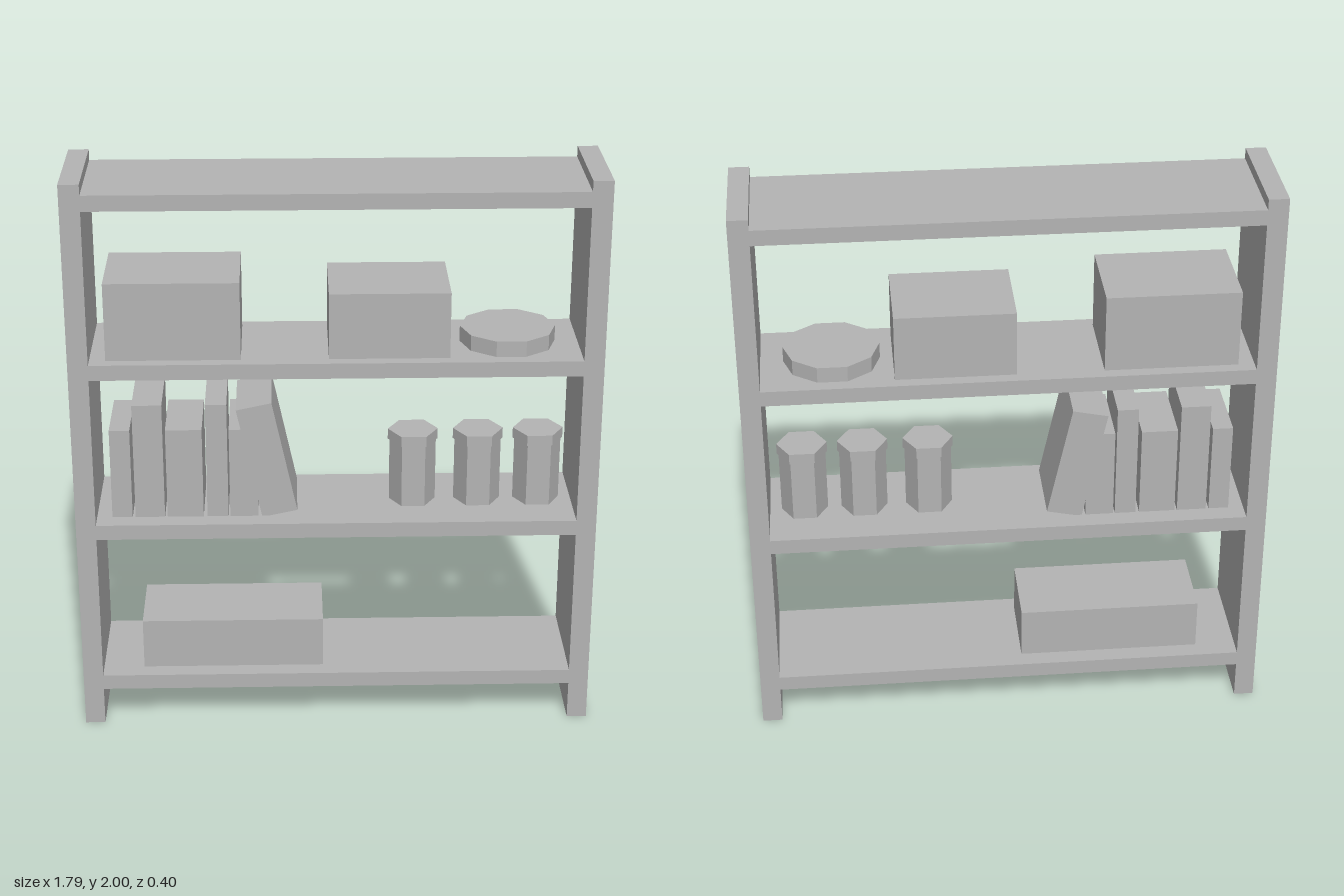
import * as THREE from 'three';

export function createModel() {
  const group = new THREE.Group();
  group.name = 'bookshelf';
  const grey = new THREE.MeshStandardMaterial({ color: 0xb4b4b4, flatShading: true });
  grey.name = 'grey';

  const add = (name, geometry, x, y, z = 0, parent = group) => {
    const mesh = new THREE.Mesh(geometry, grey);
    mesh.name = name;
    mesh.position.set(x, y, z);
    parent.add(mesh);
    return mesh;
  };
  // Box given by its left, right, bottom and top edges, centred in depth
  const box = (name, x0, x1, y0, y1, depth) =>
    add(name, new THREE.BoxGeometry(x1 - x0, y1 - y0, depth), (x0 + x1) / 2, (y0 + y1) / 2);
  // Upright prism with a flat side towards the front
  const prism = (r, h, sides) => new THREE.CylinderGeometry(r, r, h, sides, 1, false, Math.PI / sides);

  // Frame: two side panels and four shelves
  const depth = 0.404, outer = 0.897, inner = 0.828, thick = 0.054;
  box('leftPanel', inner, outer, 0, 2, depth);
  box('rightPanel', -outer, -inner, 0, 2, depth);
  const tops = [0.191, 0.782, 1.374, 1.963];
  tops.forEach((y, i) => box(`shelf${i + 1}`, -inner, inner, y - thick, y, depth));
  const [low, middle, high] = tops;

  // Storage boxes
  box('longBox', -0.685, -0.047, low, 0.374, 0.28);
  box('largeBox', -0.773, -0.32, high, 1.646, 0.32);
  box('mediumBox', -0.025, 0.382, high, 1.604, 0.32);

  // Low ten-sided tin
  add('roundTin', prism(0.163, 0.055, 10), 0.588, high + 0.0275);

  // Upright books: left edge, right edge, top
  [
    [-0.775, -0.705, 1.108],
    [-0.695, -0.593, 1.2],
    [-0.584, -0.459, 1.108],
    [-0.446, -0.373, 1.2],
    [-0.367, -0.27, 1.108],
  ].forEach(([x0, x1, top], i) => box(`book${i + 1}`, x0, x1, middle, top, 0.27));

  // Book leaning on the row
  const leaning = add('leaningBook', new THREE.BoxGeometry(0.124, 0.411, 0.27), -0.238, 0.991);
  leaning.rotation.z = THREE.MathUtils.degToRad(12);

  // Six-sided jars with slightly wider lids
  for (const x of [0.27, 0.497, 0.706]) {
    const jar = new THREE.Group();
    jar.name = 'jar';
    jar.position.set(x, middle, 0);
    group.add(jar);
    add('jarBody', prism(0.081, 0.23, 6), 0, 0.115, 0, jar);
    add('jarLid', prism(0.087, 0.038, 6), 0, 0.247, 0, jar);
  }

  return group;
}
